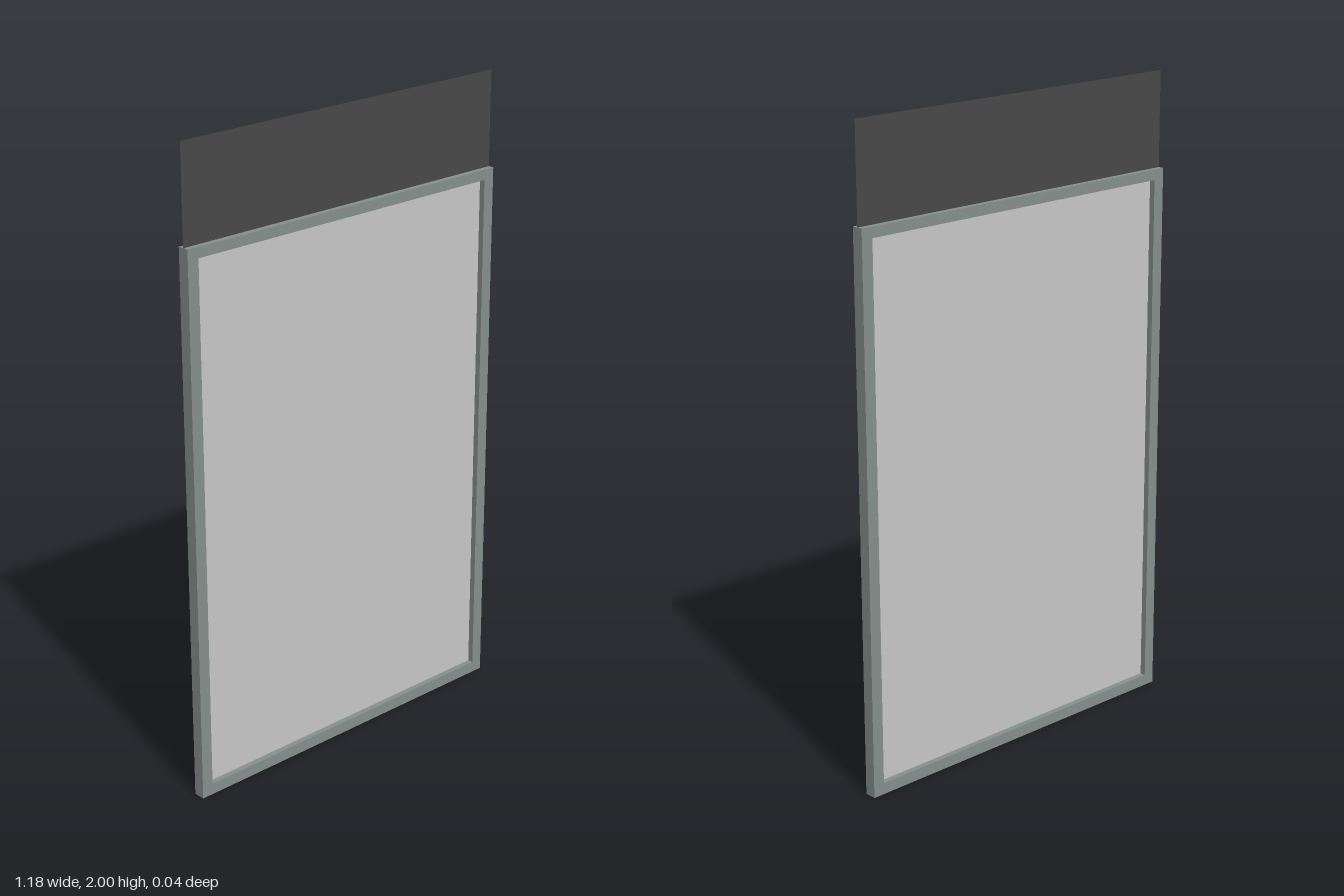
import * as THREE from 'three';

const WIDTH = 1.18, FRAME_TOP = 1.705, TOP = 2, DEPTH = 0.037;

function material(name, color) {
  const m = new THREE.MeshStandardMaterial({ color, side: THREE.DoubleSide });
  m.name = name;
  return m;
}

// Thin upright sheet spanning y0..y1, centred on x and z
function sheet(name, width, y0, y1, mat) {
  const mesh = new THREE.Mesh(new THREE.PlaneGeometry(width, y1 - y0), mat);
  mesh.position.y = (y0 + y1) / 2;
  mesh.name = name;
  return mesh;
}

// Counter-clockwise rectangle outline
function rectangle(target, x, y0, y1) {
  target.moveTo(-x, y0);
  target.lineTo(x, y0);
  target.lineTo(x, y1);
  target.lineTo(-x, y1);
  target.closePath();
  return target;
}

export function createModel() {
  const group = new THREE.Group();
  group.name = 'framedPanelSign';

  const frameMat = material('greenish grey metal', 0x86908c);
  const panelMat = material('light grey', 0xc8c8c8);
  const headerMat = material('dark grey', 0x494949);

  // Frame with a rectangular opening
  const outline = rectangle(new THREE.Shape(), WIDTH / 2, 0, FRAME_TOP);
  outline.holes.push(rectangle(new THREE.Path(), 0.553, 0.035, 1.673));
  const frameGeo = new THREE.ExtrudeGeometry(outline, { depth: DEPTH, bevelEnabled: false });
  frameGeo.translate(0, 0, -DEPTH / 2);
  const frame = new THREE.Mesh(frameGeo, frameMat);
  frame.name = 'frame';

  // Infill panel and header board, both in the middle of the frame's depth
  group.add(
    frame,
    sheet('panel', 1.106, 0.035, 1.673, panelMat),
    sheet('headerBoard', WIDTH, FRAME_TOP, TOP, headerMat)
  );
  return group;
}
